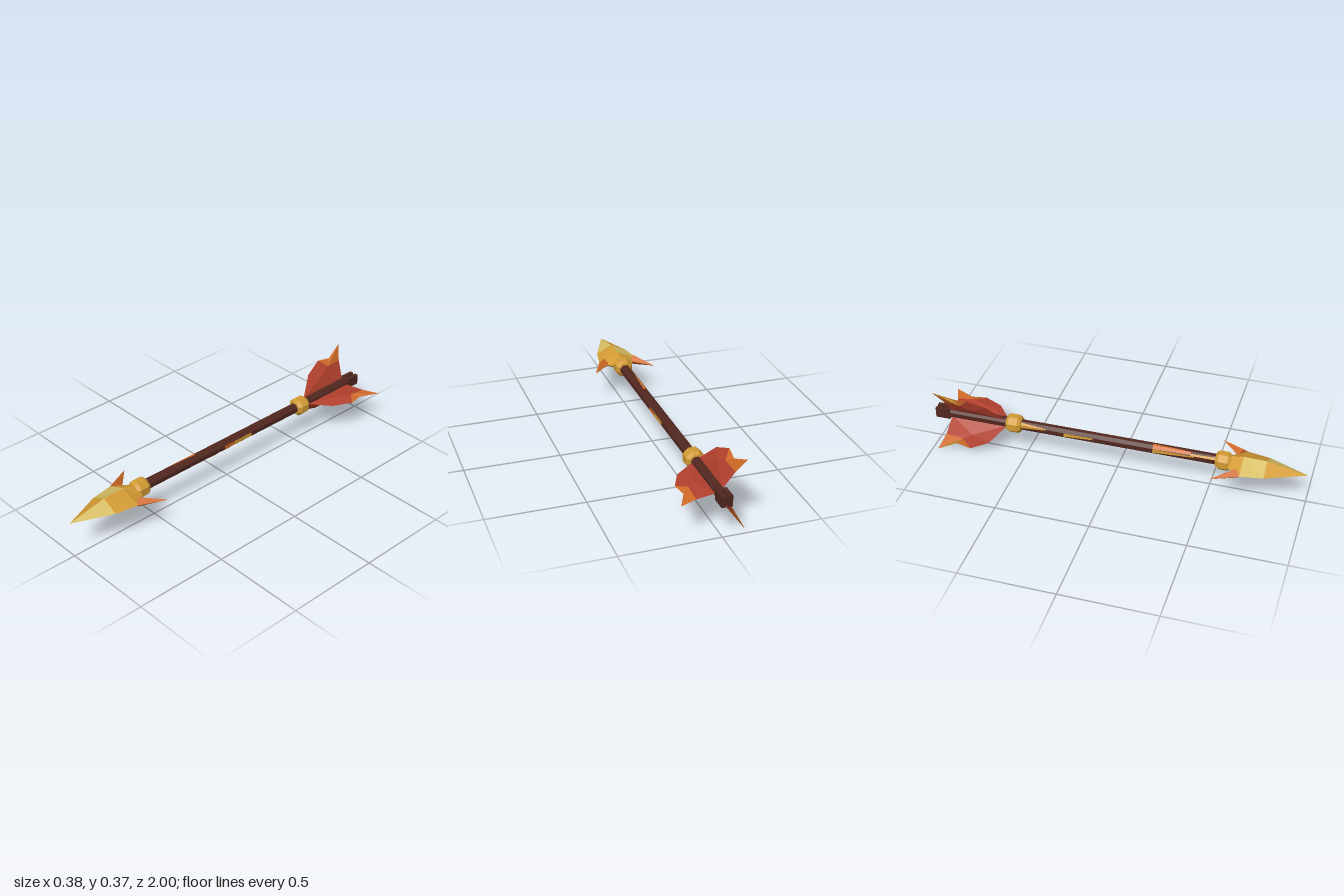
import * as THREE from 'three';

const mat = (name, color) => {
  const m = new THREE.MeshStandardMaterial({ color, flatShading: true });
  m.name = name;
  return m;
};

export function createModel() {
  const wood = mat('darkWood', 0x51271f);
  const gold = mat('gold', 0xd29a33);
  const pale = mat('paleGold', 0xd6bd62);
  const orange = mat('orange', 0xd06b27);
  const red = mat('redFeather', 0xb4412e);

  const root = new THREE.Group();
  const arrow = new THREE.Group();
  arrow.name = 'arrow';
  arrow.position.set(-0.02, 0.186, 0);
  root.add(arrow);

  const add = (name, geo, material, parent = arrow) => {
    const mesh = new THREE.Mesh(geo, material);
    mesh.name = name;
    parent.add(mesh);
    return mesh;
  };
  const facets = (points) => {
    const g = new THREE.BufferGeometry();
    g.setAttribute('position', new THREE.Float32BufferAttribute(points.flat(), 3));
    g.computeVertexNormals();
    return g;
  };

  // Eight-sided shaft
  const R = 0.0285;
  const shaft = new THREE.CylinderGeometry(R, R, 1.52, 8, 1, false, Math.PI / 8);
  shaft.rotateX(Math.PI / 2);
  add('shaft', shaft, wood).position.z = -0.18;

  // Split nock
  for (const s of [-1, 1]) {
    add('nockProng', new THREE.BoxGeometry(0.022, 0.056, 0.08), wood).position.set(s * 0.017, 0, -0.96);
  }

  // Painted shards: shaft side, rear z, front z, rear span, front span, material
  const flecks = [
    [0, -0.17, -0.05, [-1, 1], [-1, 1], gold], [0, -0.05, 0.02, [-1, 1], [-1, 1], orange],
    [2, 0.2, 0.37, [-0.1, 1], [0.8, 1], orange],
    [3, 0.2, 0.4, [-1, 1], [-1, 0.5], orange], [3, 0.4, 0.53, [0, 1], [-0.3, 1], gold],
    [4, 0.2, 0.42, [-1, 1], [-1, -0.4], gold], [4, -0.28, -0.12, [-1, 1], [-1, 0], gold],
    [3, -0.52, -0.38, [-0.5, 1], [0.6, 1], gold], [4, -0.52, -0.38, [-1, 0.4], [-1, -0.6], gold],
    [6, -0.08, 0.12, [-1, 1], [-0.4, 1], orange], [7, -0.08, 0.12, [-1, 0], [-1, 0.8], gold],
  ];
  const depth = R * Math.cos(Math.PI / 8) + 0.001, half = R * Math.sin(Math.PI / 8);
  for (const [side, z0, z1, rear, front, m] of flecks) {
    const [a, b] = rear.map((t) => [depth, t * half, z0]);
    const [c, d] = front.map((t) => [depth, t * half, z1]);
    add('shaftShard', facets([a, b, d, a, d, c]), m).rotation.z = side * Math.PI / 4;
  }

  // Bevelled collars
  const profile = [[0.028, -0.042], [0.038, -0.04], [0.05, -0.024], [0.05, 0.024], [0.038, 0.04], [0.028, 0.042]];
  for (const z of [0.57, -0.56]) {
    const g = new THREE.LatheGeometry(profile.map((p) => new THREE.Vector2(...p)), 8, Math.PI / 8);
    g.rotateX(Math.PI / 2);
    add('collar', g, gold).position.z = z;
  }

  // Diamond-section head: half width, half height, z
  const rings = [[0, 0, 0.6], [0.055, 0.036, 0.6], [0.108, 0.046, 0.67], [0.088, 0.044, 0.79], [0, 0, 1]];
  const headColours = [
    [gold, gold, gold, pale], [gold, gold, pale, gold],
    [gold, gold, gold, orange], [gold, gold, orange, gold],
  ];
  const corner = ([w, h, z], q) => [[w, 0, z], [0, h, z], [-w, 0, z], [0, -h, z]][q % 4];
  const head = new THREE.Group();
  head.name = 'head';
  arrow.add(head);
  for (let q = 0; q < 4; q++) {
    for (let i = 0; i < 4; i++) {
      const a = corner(rings[i], q), b = corner(rings[i], q + 1);
      const c = corner(rings[i + 1], q + 1), d = corner(rings[i + 1], q);
      const tris = [];
      if (i > 0) tris.push(a, b, c);
      if (i < 3) tris.push(a, c, d);
      add('headFacet', facets(tris), headColours[q][i], head);
    }
  }

  // Swept-back barbs: four-sided spikes with a closed base
  for (const s of [-1, 1]) {
    const tip = [s * 0.17, 0, 0.53];
    const base = [[0.108, 0, 0.672], [0.085, 0.028, 0.65], [0.062, 0, 0.63], [0.085, -0.028, 0.65]]
      .map(([x, y, z]) => [s * x, y, z]);
    const face = (a, b, c) => (s > 0 ? [a, c, b] : [a, b, c]);
    const spike = (i) => face(tip, base[i], base[(i + 1) % 4]);
    const cap = [...face(base[0], base[2], base[1]), ...face(base[0], base[3], base[2])];
    add('barb', facets([...spike(0), ...spike(1), ...spike(2), ...cap]), orange);
    add('barbUnderside', facets(spike(3)), s < 0 ? gold : orange);
  }

  // Ridged fletching blades, laid out as radius, thickness, z
  const A = [0.02, 0, -0.6], B = [0.13, 0, -0.69], C = [0.177, 0, -0.79], D = [0.163, 0, -0.87];
  const T = [0.211, 0, -0.972], N = [0.125, 0, -0.935], E = [0.02, 0, -0.912];
  for (const [angle, goldSide] of [[0, 0], [2 * Math.PI / 3, 1], [4 * Math.PI / 3, -1]]) {
    const fin = new THREE.Group();
    fin.name = 'fletching';
    fin.rotation.z = angle;
    arrow.add(fin);
    for (const s of [1, -1]) {
      const M = [0.1, s * 0.016, -0.78], K = [0.128, s * 0.013, -0.835];
      const fan = (c, pts) => pts.slice(1).flatMap((p, i) => (s > 0 ? [c, pts[i], p] : [c, p, pts[i]]));
      add('feather', facets(fan(M, [A, B, C, K, N, E, A])), red, fin);
      add('featherTip', facets([...fan(K, [C, D]), ...fan(K, [T, N])]), orange, fin);
      add('featherTipEdge', facets(fan(K, [D, T])), s === goldSide ? gold : orange, fin);
    }
  }

  return root;
}
